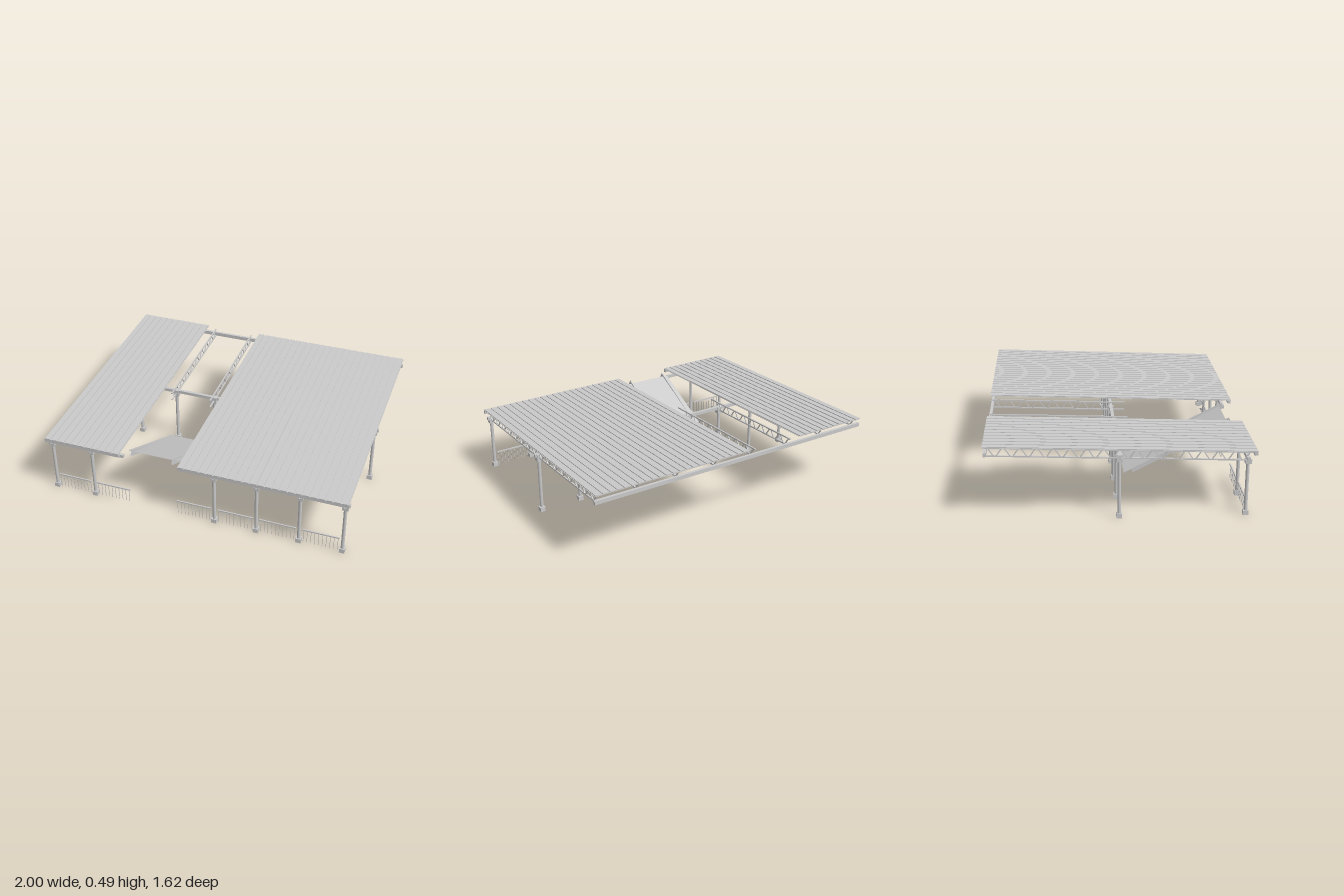
import * as THREE from 'three';

const steel = new THREE.MeshStandardMaterial({ color: 0xcacaca, side: THREE.DoubleSide });
steel.name = 'grey steel';

const K = -0.0416; // roof fall towards the front
const COLUMNS = Array.from({ length: 8 }, (_, i) => -0.975 + i * 0.2782);
const FRONT_Z = 0.755, MID_Z = -0.01;
const isGap = i => i === 2 || i === 3;

function add(parent, name, geometry, x, y, z) {
  const m = new THREE.Mesh(geometry, steel);
  m.name = name;
  m.position.set(x, y, z);
  parent.add(m);
  return m;
}

// box given by its limits
function block(parent, name, x0, x1, y0, y1, z0, z1) {
  return add(parent, name, new THREE.BoxGeometry(x1 - x0, y1 - y0, z1 - z0),
    (x0 + x1) / 2, (y0 + y1) / 2, (z0 + z1) / 2);
}

// straight bar between two points of a plane x = constant
function bar(parent, name, x, [z0, y0], [z1, y1], w, h) {
  const dy = y1 - y0, dz = z1 - z0;
  const m = add(parent, name, new THREE.BoxGeometry(w, h, Math.hypot(dy, dz)),
    x, (y0 + y1) / 2, (z0 + z1) / 2);
  m.rotation.x = -Math.atan2(dy, dz);
  return m;
}

// thin sheets share the normals of their top with their underside
function shareTopNormals(geometry) {
  const n = geometry.attributes.normal;
  for (let i = 0; i < n.count; i++) if (n.getY(i) < -0.5) n.setY(i, -n.getY(i));
}

function group(parent, name) {
  const g = new THREE.Group();
  g.name = name;
  parent.add(g);
  return g;
}

// round column with square foot and head
function post(parent, name, x, z, top) {
  const g = group(parent, name);
  const h = top - 0.02;
  add(g, 'shaft', new THREE.CylinderGeometry(0.011, 0.011, h, 16), x, h / 2, z);
  block(g, 'foot', x - 0.017, x + 0.017, 0, 0.03, z - 0.017, z + 0.017);
  block(g, 'head', x - 0.019, x + 0.019, top - 0.024, top, z - 0.019, z + 0.019);
}

// sloping lattice girder; zFront shortens it where it has broken off
function truss(parent, x, zFront) {
  const g = group(parent, 'roofTruss');
  const zBack = -0.795, step = 0.0975;
  const low = z => [z, 0.388 + K * z], high = z => [z, 0.438 + K * z];
  bar(g, 'bottomChord', x, low(zBack), low(zFront), 0.009, 0.008);
  bar(g, 'topChord', x, high(zBack), high(zFront), 0.009, 0.008);
  for (let z = zBack + 0.01; z + step * 0.9 < zFront; z += step) {
    bar(g, 'diagonal', x, high(z + step * 0.08), low(z + step * 0.42), 0.006, 0.006);
    bar(g, 'diagonal', x, low(z + step * 0.58), high(z + step * 0.92), 0.006, 0.006);
  }
}

// roof sheet with flat, upright-sided ribs, extruded down the slope
function roofSheet(parent, name, x0, x1, ribs) {
  const s = new THREE.Shape();
  const p = (x1 - x0) / ribs, base = 0.003, top = 0.008;
  s.moveTo(x0, 0);
  s.lineTo(x1, 0);
  for (let i = ribs - 1; i >= 0; i--) {
    const a = x0 + i * p;
    s.lineTo(a + p, base);
    s.lineTo(a + p * 0.9, base);
    s.lineTo(a + p * 0.9, top);
    s.lineTo(a + p * 0.1, top);
    s.lineTo(a + p * 0.1, base);
  }
  s.lineTo(x0, base);
  s.closePath();
  const length = 1.62;
  const geo = new THREE.ExtrudeGeometry(s, { depth: length, bevelEnabled: false });
  geo.translate(0, 0, -length / 2);
  shareTopNormals(geo);
  add(parent, name, geo, 0, 0.4448, 0).rotation.x = Math.atan(-K);
}

// low railing with thin upright bars
function railing(parent, x0, x1) {
  const g = group(parent, 'railing');
  block(g, 'handrail', x0, x1, 0.096, 0.104, FRONT_Z - 0.004, FRONT_Z + 0.004);
  const n = 10;
  for (let i = 0; i < n; i++) {
    const x = x0 + 0.008 + (x1 - x0 - 0.016) * i / (n - 1);
    block(g, 'railingBar', x - 0.0013, x + 0.0013, 0.005, 0.098, FRONT_Z - 0.0013, FRONT_Z + 0.0013);
  }
}

export function createModel() {
  const model = new THREE.Group();
  model.name = 'damagedCanopy';

  // columns and girders; the front pair at the gap is missing
  COLUMNS.forEach((x, i) => {
    post(model, 'middlePost', x, MID_Z, 0.39);
    block(model, 'middleBracket', x - 0.017, x + 0.017, 0.388, 0.413, MID_Z - 0.017, MID_Z + 0.017);
    if (!isGap(i)) post(model, 'frontPost', x, FRONT_Z, 0.362);
    truss(model, x, isGap(i) ? 0.08 : 0.78);
  });

  // cross beams
  block(model, 'middleBeam', -1, 1, 0.392, 0.413, -0.02, 0.0);
  block(model, 'rearBeam', -1, 1, 0.423, 0.448, -0.804, -0.786);
  for (const [x0, x1] of [[-1, -0.47], [-0.09, 1]])
    block(model, 'frontBeam', x0, x1, 0.36, 0.381, FRONT_Z - 0.01, FRONT_Z + 0.01);
  for (const [x0, x1] of [[-1, -0.48], [-0.085, 1]])
    block(model, 'frontPurlin', x0, x1, 0.392, 0.413, 0.788, 0.808);

  // two standing roof sheets
  roofSheet(model, 'rightRoof', -1, -0.48, 11);
  roofSheet(model, 'leftRoof', -0.085, 1, 23);

  // fallen roof piece with its two supporting beams
  const fallen = group(model, 'fallenRoof');
  const sheet = bar(fallen, 'fallenSheet', -0.28, [0.055, 0.06], [0.72, 0.395], 0.34, 0.004);
  shareTopNormals(sheet.geometry);
  for (const x of [COLUMNS[2], COLUMNS[3]])
    bar(fallen, 'fallenBeam', x, [0.108, 0.064], [0.745, 0.4], 0.009, 0.037);

  // railings between and beside the front posts
  for (const [x0, x1] of [[-0.955, -0.72], [-0.68, -0.445], [-0.12, 0.115],
    [0.16, 0.395], [0.437, 0.672], [0.715, 0.95]]) railing(model, x0, x1);

  return model;
}
